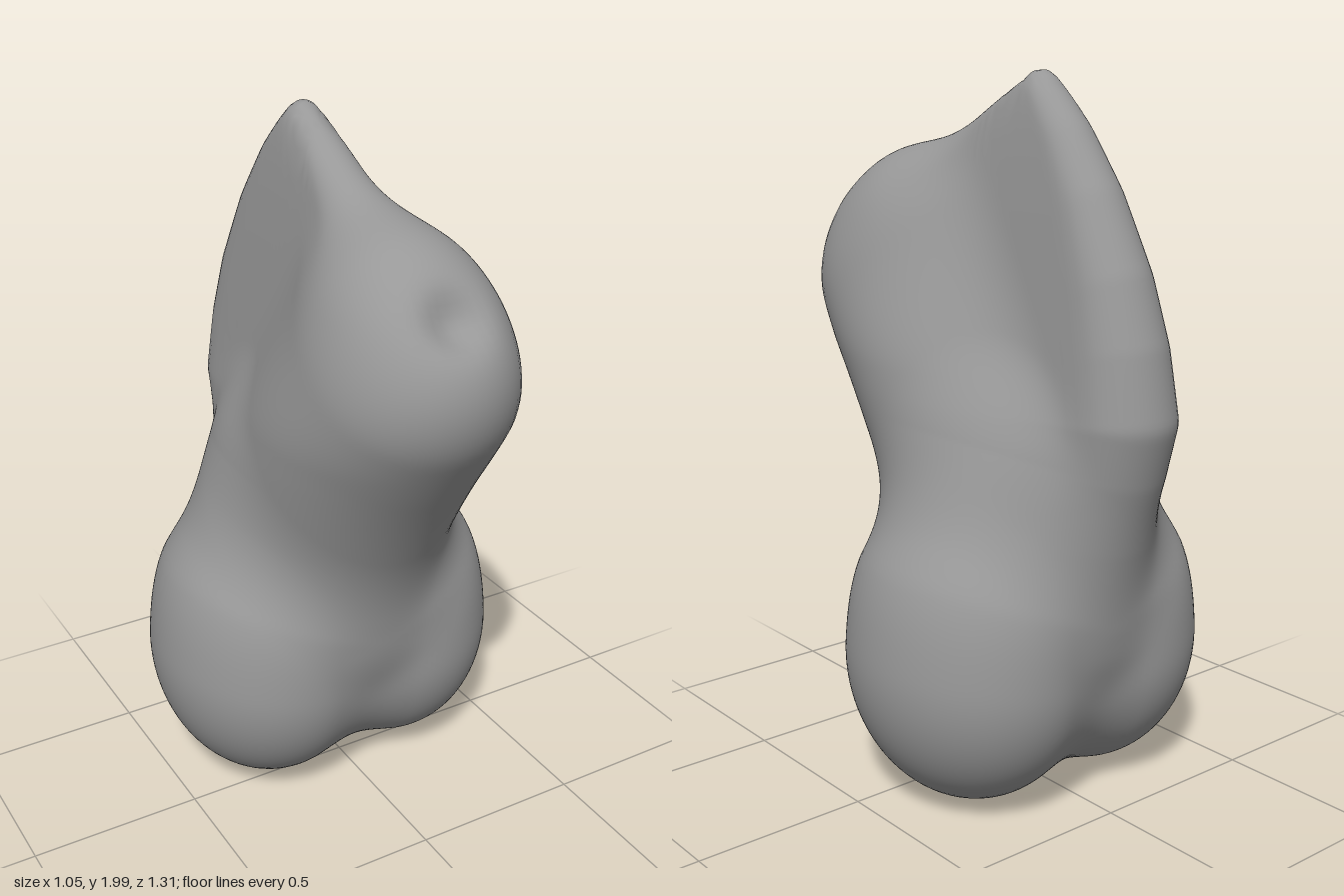
import * as THREE from 'three';
import { mergeVertices } from 'three/addons/utils/BufferGeometryUtils.js';

const { clamp, lerp, smoothstep } = THREE.MathUtils;

// Smooth union of two distances
function blend(a, b, k) {
  const h = Math.max(k - Math.abs(a - b), 0) / k;
  return Math.min(a, b) - h * h * k * 0.25;
}

// Distance to a rounded bar from a to b with radius ra to rb
function bar(x, y, z, a, b, ra, rb) {
  const d = [b[0] - a[0], b[1] - a[1], b[2] - a[2]];
  const p = [x - a[0], y - a[1], z - a[2]];
  const dot = (u, v) => u[0] * v[0] + u[1] * v[1] + u[2] * v[2];
  const t = clamp(dot(p, d) / dot(d, d), 0, 1);
  return Math.hypot(p[0] - d[0] * t, p[1] - d[1] * t, p[2] - d[2] * t) - lerp(ra, rb, t);
}

// Egg-shaped lower lobe with a shoulder rising to the neck, on the side given by the sign
function lobe(x, y, z, side) {
  const lx = x * side, lz = z + 0.125;
  const egg = (Math.hypot((lx - 0.2) / 0.325, (y - 0.415) / 0.41, lz / 0.378) - 1) * 0.325;
  const shoulder = bar(lx, y, lz * 0.86, [0.17, 0.6, 0], [0.04, 0.96, 0], 0.3, 0.24);
  return blend(egg, shoulder, 0.08);
}

// Thick forward-leaning trunk with a blunt head, narrower towards its top
function trunk(x, y, z) {
  const narrowing = 1.06 + 0.17 * smoothstep(y, 1.2, 1.6);
  return bar(x * narrowing, y, z, [0, 1.44, 0.33], [0, 0.86, -0.06], 0.33, 0.33);
}

// Core outline of the back fin as [z, y]
const finOutline = [
  [-0.19, 1.95], [-0.28, 1.83], [-0.37, 1.67], [-0.45, 1.47], [-0.49, 1.3], [-0.505, 1.13],
  [-0.47, 1.0], [-0.41, 0.82], [-0.31, 0.55], [0.05, 0.55], [0.23, 1.64], [0.05, 1.78],
];

// Back fin: a rounded plate that thickens downwards
function fin(x, y, z) {
  let outside = Infinity, inside = false;
  finOutline.forEach(([az, ay], i) => {
    const [bz, by] = finOutline[(i + 1) % finOutline.length];
    const dz = bz - az, dy = by - ay;
    const t = clamp(((z - az) * dz + (y - ay) * dy) / (dz * dz + dy * dy), 0, 1);
    outside = Math.min(outside, Math.hypot(z - az - dz * t, y - ay - dy * t));
    if ((ay > y) !== (by > y) && z < az + (dz * (y - ay)) / dy) inside = !inside;
  });
  const radius = 0.05 + 0.1 * clamp((1.97 - y) / 0.85, 0, 1) ** 0.7;
  return Math.hypot(x, inside ? 0 : outside) - radius;
}

// All forms melted together, with a shallow dimple on the head
function form(x, y, z) {
  const lobes = blend(lobe(x, y, z, 1), lobe(x, y, z, -1), 0.14);
  const upper = blend(trunk(x, y, z), fin(x, y, z), 0.2);
  const r2 = x * x + (y - 1.61) ** 2 + (z - 0.54) ** 2;
  const dimple = 0.03 * Math.exp(-r2 / 0.025) + 0.05 * Math.exp(-r2 / 0.005);
  return blend(lobes, upper, 0.13) + dimple;
}

// Push each point of a sphere out from the centre to the surface of the form
function skin(centre) {
  let geo = new THREE.SphereGeometry(1, 160, 128);
  geo.deleteAttribute('uv');
  geo.deleteAttribute('normal');
  geo = mergeVertices(geo);
  const pos = geo.attributes.position;
  const dir = new THREE.Vector3(), p = new THREE.Vector3();
  for (let i = 0; i < pos.count; i++) {
    dir.fromBufferAttribute(pos, i).normalize();
    let near = 0, far = 1.4;
    for (let n = 0; n < 24; n++) {
      const mid = (near + far) / 2;
      p.copy(centre).addScaledVector(dir, mid);
      if (form(p.x, p.y, p.z) < 0) near = mid;
      else far = mid;
    }
    p.copy(centre).addScaledVector(dir, near);
    pos.setXYZ(i, p.x, p.y, p.z);
  }
  geo.computeBoundingBox();
  geo.translate(0, -geo.boundingBox.min.y, 0);
  geo.computeVertexNormals();
  return geo;
}

export function createModel() {
  const group = new THREE.Group();
  const material = new THREE.MeshStandardMaterial({ color: 0x989898 });
  const body = new THREE.Mesh(skin(new THREE.Vector3(0, 0.98, -0.1)), material);
  body.name = 'body';
  group.add(body);
  return group;
}
